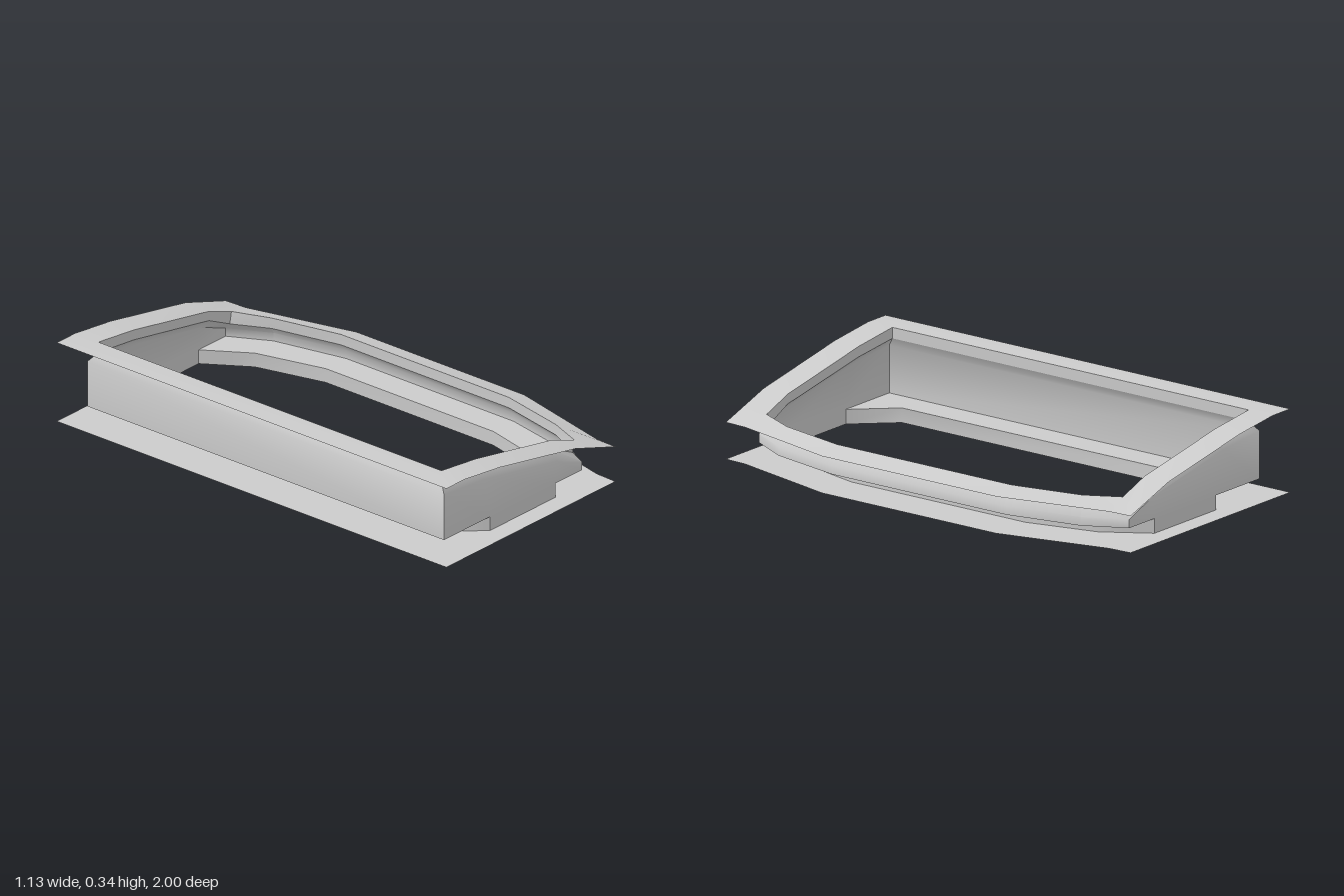
import * as THREE from 'three';
import { toCreasedNormals } from 'three/addons/utils/BufferGeometryUtils.js';

// Closed ring from half of its points [x, y, z], mirrored across z
function ring(half) {
  const front = half.map(p => new THREE.Vector3(...p));
  const back = half.map(([x, y, z]) => new THREE.Vector3(x, y, -z)).reverse();
  return [...front, ...back];
}

// Sheet surface joining successive rings
function loft(name, rings, material) {
  const pos = [];
  const tri = (a, b, c) => {
    const area = b.clone().sub(a).cross(c.clone().sub(a)).length();
    if (area > 1e-6) for (const p of [a, b, c]) pos.push(p.x, p.y, p.z);
  };
  for (let r = 0; r + 1 < rings.length; r++) {
    const a = rings[r], b = rings[r + 1], n = a.length;
    for (let i = 0; i < n; i++) {
      const j = (i + 1) % n;
      tri(a[i], b[i], b[j]);
      tri(a[i], b[j], a[j]);
    }
  }
  const geo = new THREE.BufferGeometry();
  geo.setAttribute('position', new THREE.Float32BufferAttribute(pos, 3));
  const mesh = new THREE.Mesh(toCreasedNormals(geo, 0.8), material);
  mesh.name = name;
  return mesh;
}

export function createModel() {
  const material = new THREE.MeshStandardMaterial({ color: 0xcccccc, side: THREE.DoubleSide });
  const group = new THREE.Group();
  group.name = 'bezelFrame';

  // Sloping top opening and the lip hanging from it
  const rim = [[-0.46, 0.34, 0.88], [-0.25, 0.315, 0.88], [0.2, 0.23, 0.88],
    [0.335, 0.18, 0.88], [0.4, 0.175, 0.73], [0.465, 0.175, 0.43]];
  const lipBottom = [[-0.46, 0.295, 0.88], [-0.25, 0.272, 0.88], [0.2, 0.19, 0.88],
    [0.325, 0.13, 0.88], [0.4, 0.13, 0.73], [0.465, 0.13, 0.43]];

  // Wider body below the lip
  const shoulder = [[-0.485, 0.255, 0.915], [-0.25, 0.234, 0.915], [0.19, 0.153, 0.915],
    [0.34, 0.095, 0.915], [0.43, 0.095, 0.745], [0.495, 0.095, 0.43]];
  const plan = [[-0.485, 0.915], [-0.21, 0.915], [0.18, 0.915],
    [0.34, 0.915], [0.43, 0.745], [0.495, 0.43]];

  // Chamfered base opening
  const opening = [[-0.36, 0.755], [-0.21, 0.915], [0.18, 0.915],
    [0.24, 0.8225], [0.3, 0.73], [0.375, 0.43]];
  const baseEdge = [[-0.57, 1], [-0.21, 1], [0.18, 1], [0.44, 1], [0.445, 0.9], [0.56, 0.43]];
  const at = (outline, y) => ring(outline.map(([x, z]) => [x, y, z]));

  // Outer flange edge, level behind the high end; its first rim point repeats
  const flangeEdge = [[-0.57, 0.34, 1], [-0.46, 0.34, 1], [-0.25, 0.315, 1], [0.2, 0.23, 1],
    [0.44, 0.15, 1], [0.445, 0.15, 0.9], [0.56, 0.15, 0.43]];

  group.add(
    loft('topFlange', [ring(flangeEdge), ring([rim[0], ...rim])], material),
    loft('topLip', [ring(rim), ring(lipBottom)], material),
    loft('bodyWall', [ring(lipBottom), ring(shoulder), at(plan, 0.06)], material),
    loft('innerLedge', [at(plan, 0.06), at(opening, 0.06)], material),
    loft('baseLip', [at(opening, 0.06), at(opening, 0)], material),
    loft('baseFlange', [at(opening, 0), at(baseEdge, 0)], material),
  );
  return group;
}
